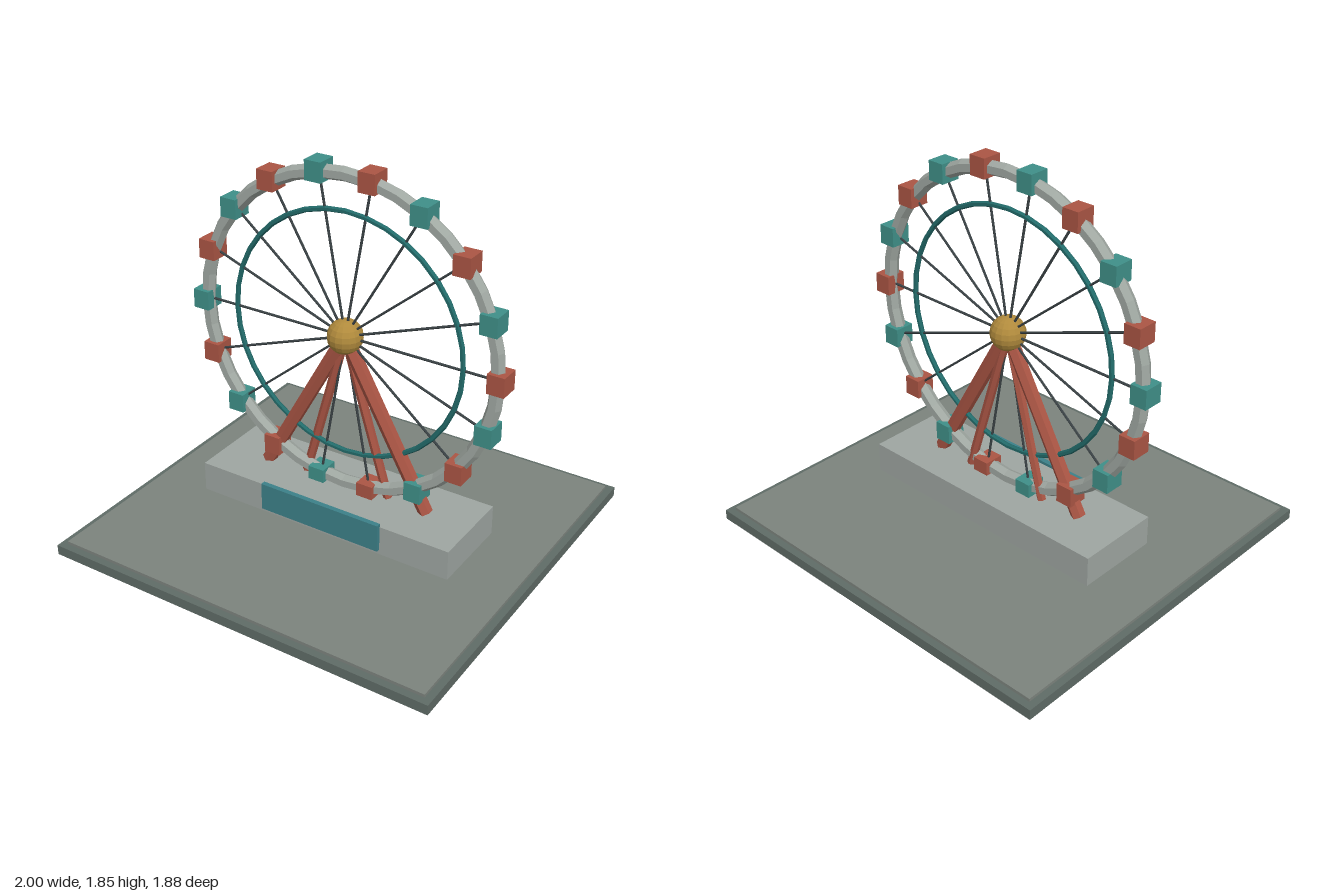
import * as THREE from 'three';

const mat = (color) => new THREE.MeshStandardMaterial({ color, flatShading: true });
const M = {
  base: mat(0x5f6b66), ground: mat(0x7c837d), platform: mat(0x9ea5a1), sign: mat(0x3c8088),
  red: mat(0xaa5544), teal: mat(0x3f8f88), ring: mat(0x226b6a), rim: mat(0xa0a8a2),
  spoke: mat(0x3a4245), gold: mat(0xb08a3c),
};
const HUB_Y = 1.025;

export function createModel() {
  const model = new THREE.Group();
  model.name = 'ferrisWheel';

  const add = (parent, name, geometry, material, x, y, z) => {
    const mesh = new THREE.Mesh(geometry, material);
    mesh.name = name;
    mesh.position.set(x, y, z);
    parent.add(mesh);
    return mesh;
  };
  // Box given by its size and the height of its underside
  const box = (name, w, h, d, material, bottom, z = 0) =>
    add(model, name, new THREE.BoxGeometry(w, h, d), material, 0, bottom + h / 2, z);
  // Straight rod between two points
  const rod = (parent, name, a, b, radius, sides, material) => {
    const dir = b.clone().sub(a);
    const mid = a.clone().add(b).multiplyScalar(0.5);
    const geometry = new THREE.CylinderGeometry(radius, radius, dir.length(), sides);
    const mesh = add(parent, name, geometry, material, mid.x, mid.y, mid.z);
    mesh.quaternion.setFromUnitVectors(new THREE.Vector3(0, 1, 0), dir.normalize());
  };

  // Ground slabs, boarding platform and blank sign board
  box('base', 2, 0.05, 1.88, M.base, 0);
  box('groundSlab', 1.93, 0.015, 1.81, M.ground, 0.05);
  box('platform', 1.365, 0.15, 0.43, M.platform, 0.08);
  box('signBoard', 0.65, 0.14, 0.025, M.sign, 0.105, 0.2225);

  // Wheel: rim, inner ring and hub
  const wheel = new THREE.Group();
  wheel.name = 'wheel';
  wheel.position.y = HUB_Y;
  model.add(wheel);
  add(wheel, 'rim', new THREE.TorusGeometry(0.775, 0.035, 6, 36), M.rim, 0, 0, 0);
  add(wheel, 'innerRing', new THREE.TorusGeometry(0.605, 0.013, 6, 36), M.ring, 0, 0, 0);
  add(wheel, 'hub', new THREE.SphereGeometry(0.085, 16, 10), M.gold, 0, 0, 0);

  // Spokes and upright cabins in alternating colours
  const cabin = new THREE.BoxGeometry(0.085, 0.095, 0.1);
  for (let i = 0; i < 18; i++) {
    const a = (i * Math.PI) / 9;
    const tip = new THREE.Vector3(Math.cos(a), Math.sin(a), 0).multiplyScalar(0.785);
    rod(wheel, 'spoke', new THREE.Vector3(), tip, 0.006, 6, M.spoke);
    add(wheel, 'cabin', cabin, i % 2 ? M.teal : M.red, tip.x, tip.y, 0);
  }

  // Support legs, mirrored left and right
  const top = new THREE.Vector3(0, HUB_Y, 0);
  for (const side of [-1, 1]) {
    rod(model, 'outerLeg', top, new THREE.Vector3(side * 0.445, 0.23, 0), 0.035, 6, M.red);
    rod(model, 'innerLeg', top, new THREE.Vector3(side * 0.23, 0.23, -0.015), 0.022, 6, M.red);
  }
  return model;
}
